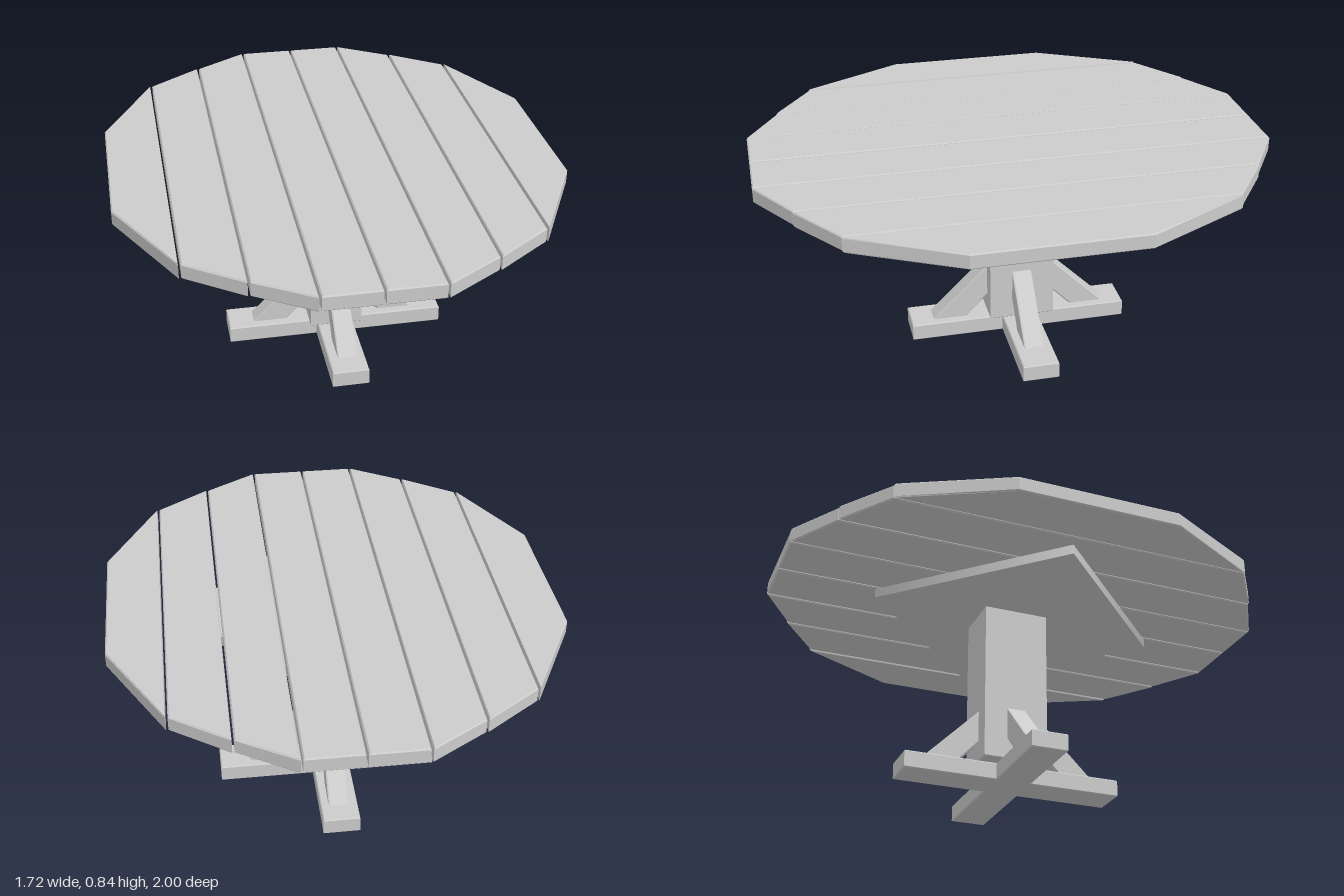
import * as THREE from 'three';

const material = new THREE.MeshStandardMaterial({ color: 0xcccccc });

// Timber cut from a 2D outline, with softly chamfered edges; spans 0..depth along z.
function timber(points, depth, bevel = 0.006) {
  const shape = new THREE.Shape(points.map(([x, y]) => new THREE.Vector2(x, y)));
  const geometry = new THREE.ExtrudeGeometry(shape, {
    depth: depth - 2 * bevel,
    bevelEnabled: true,
    bevelThickness: bevel,
    bevelSize: bevel,
    bevelOffset: -bevel,
    bevelSegments: 1,
  });
  return geometry.translate(0, 0, bevel);
}

// Upright timber: the outline is given as (x, z), raised from y0 to y1.
function slab(points, y0, y1, bevel) {
  const outline = points.map(([x, z]) => [x, -z]);
  return timber(outline, y1 - y0, bevel).rotateX(-Math.PI / 2).translate(0, y0, 0);
}

function block(x0, x1, z0, z1, y0, y1, bevel) {
  return slab([[x0, z1], [x1, z1], [x1, z0], [x0, z0]], y0, y1, bevel);
}

export function createModel() {
  const table = new THREE.Group();
  table.name = 'roundPlankTable';

  const add = (name, geometry, parent = table) => {
    const mesh = new THREE.Mesh(geometry, material);
    mesh.name = name;
    parent.add(mesh);
    return mesh;
  };

  // Tabletop: eight planks trimmed to a faceted round outline
  const tabletop = new THREE.Group();
  tabletop.name = 'tabletop';
  table.add(tabletop);
  const pitch = 0.2155;
  const gap = 0.004;
  const reach = [1, 1, 0.87, 0.722, 0.322]; // half length at each plank seam
  for (let i = 0; i < 4; i++) {
    const a = i * pitch + gap;
    const b = (i + 1) * pitch - gap;
    const za = reach[i];
    const zb = reach[i + 1];
    for (const s of [1, -1]) {
      const outline = [[s * a, za], [s * b, zb], [s * b, -zb], [s * a, -za]];
      add('plank', slab(outline, 0.78, 0.84, 0.005), tabletop);
    }
  }

  // Square support plate set diagonally under the planks
  const plate = add('supportPlate', new THREE.CylinderGeometry(0.605, 0.605, 0.039, 4));
  plate.position.y = 0.7535;

  // Central post
  add('post', block(-0.097, 0.115, -0.164, 0.1, 0.08, 0.782, 0.004));

  // Crossed feet
  add('sideFoot', block(-0.427, 0.464, -0.102, 0.043, 0, 0.07, 0.004));
  add('lengthFoot', block(-0.064, 0.083, -0.475, 0.418, 0, 0.07, 0.004));

  // Four diagonal braces from the feet to the post faces
  const width = 0.078;
  const profile = [[0.09, 0.066], [0.23, 0.066], [-0.008, 0.302], [-0.008, 0.168]];
  const braceGeometry = timber(profile, width, 0.005).translate(0, 0, -width / 2);
  const braces = [
    ['leftBrace', 0.115, -0.03, 0],
    ['backBrace', 0.0125, -0.164, Math.PI / 2],
    ['rightBrace', -0.097, -0.03, Math.PI],
    ['frontBrace', 0.0125, 0.1, -Math.PI / 2],
  ];
  for (const [name, x, z, turn] of braces) {
    const brace = add(name, braceGeometry);
    brace.position.set(x, 0, z);
    brace.rotation.y = turn;
  }

  return table;
}
